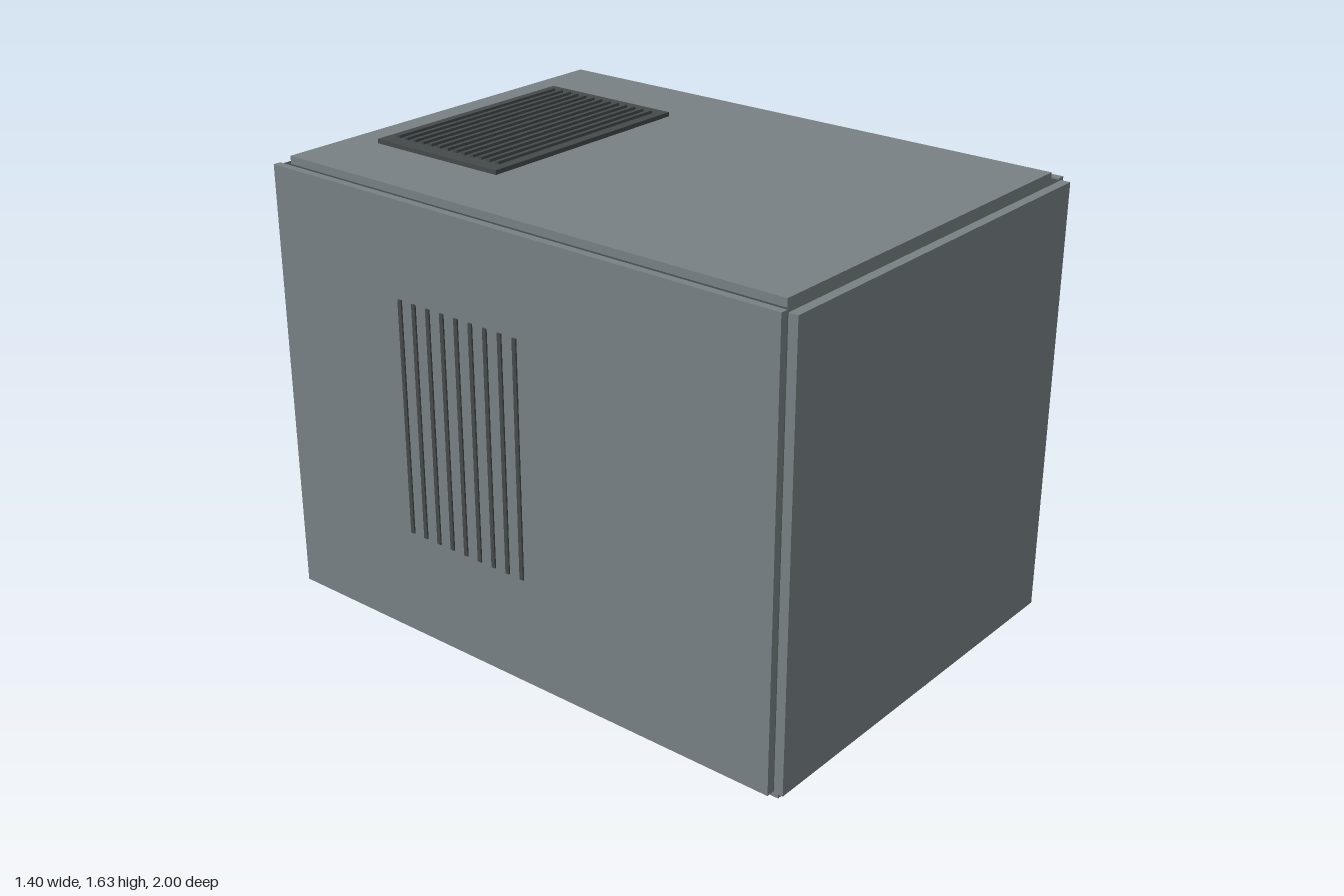
import * as THREE from 'three';

const grey = new THREE.MeshStandardMaterial({ color: 0x788185 });
grey.name = 'steel grey';
const dark = new THREE.MeshStandardMaterial({ color: 0x454a4a });
dark.name = 'dark grey';
const glass = new THREE.MeshStandardMaterial({ color: 0x606a6e });
glass.name = 'glass grey';

export function createModel() {
  const model = new THREE.Group();

  const add = (name, geometry, material) => {
    const mesh = new THREE.Mesh(geometry, material);
    mesh.name = name;
    model.add(mesh);
    return mesh;
  };
  // Box given by its limits on each axis
  const box = (name, material, x0, x1, y0, y1, z0, z1) =>
    add(name, new THREE.BoxGeometry(x1 - x0, y1 - y0, z1 - z0), material)
      .position.set((x0 + x1) / 2, (y0 + y1) / 2, (z0 + z1) / 2);
  // Upright cylinder between two heights
  const disc = (name, material, r, x, y0, y1, z, rBottom = r) =>
    add(name, new THREE.CylinderGeometry(r, rBottom, y1 - y0, 32), material)
      .position.set(x, (y0 + y1) / 2, z);

  // Cabinet: dark core with grey panels
  box('cabinetCore', dark, -0.67, 0.67, 0.18, 1.585, -0.9, 0.97);
  box('frontPanel', grey, -0.673, 0.673, 0.18, 1.585, 0.97, 1.0);
  box('topPanel', grey, -0.65, 0.65, 1.585, 1.61, -0.877, 0.95);
  for (const s of [-1, 1]) {
    const a = s * 0.67, b = s * 0.695;
    box('sidePanel', grey, Math.min(a, b), Math.max(a, b), 0.178, 1.59, -0.902, 0.965);
    // Vertical side vents
    for (let i = 0; i < 9; i++) {
      const z = 0.068 - i * 0.0565;
      const c = s * 0.69, d = s * 0.7;
      box('sideVent', dark, Math.min(c, d), Math.max(c, d), 0.527, 1.287, z - 0.007, z + 0.007);
    }
  }

  // Top grille with slats
  box('grillePlate', dark, -0.396, 0.394, 1.61, 1.624, -0.77, -0.275);
  for (let i = 0; i < 13; i++) {
    const z = -0.315 - i * 0.0345;
    box('grilleSlat', dark, -0.35, 0.35, 1.624, 1.633, z - 0.007, z + 0.007);
  }

  // Rear pipe
  const pipe = add('rearPipe', new THREE.CylinderGeometry(0.05, 0.05, 0.11, 32), dark);
  pipe.rotation.x = Math.PI / 2;
  pipe.position.set(0.547, 1.437, -0.945);

  // Underside control strip
  box('controlPanel', grey, -0.645, 0.645, 0.142, 0.18, 0.73, 0.965);
  box('drawer', grey, -0.575, -0.255, 0.115, 0.142, 0.765, 0.93);
  box('drawerInset', dark, -0.5, -0.31, 0.108, 0.115, 0.81, 0.89);
  box('displayFrame', grey, 0.32, 0.6, 0.119, 0.142, 0.775, 0.935);
  box('displayScreen', dark, 0.345, 0.575, 0.111, 0.119, 0.8, 0.91);
  disc('knobBase', dark, 0.071, 0.053, 0.112, 0.142, 0.845);
  disc('knob', grey, 0.053, 0.053, 0.065, 0.112, 0.845, 0.05);
  for (let i = 0; i < 4; i++) disc('button', grey, 0.014, 0.29 + i * 0.05, 0.108, 0.142, 0.752);

  // Round door: outer ring, stepped bowl, lower rim and glass
  const ring = add('doorRing', new THREE.TorusGeometry(0.462, 0.038, 20, 72), grey);
  ring.rotation.x = Math.PI / 2;
  ring.position.set(0, 0.113, -0.01);
  const bowl = [[0, 0.03], [0.375, 0.03], [0.39, 0.042], [0.435, 0.045], [0.455, 0.06],
    [0.458, 0.09], [0.45, 0.13], [0, 0.13]].map(([r, y]) => new THREE.Vector2(r, y));
  add('doorBowl', new THREE.LatheGeometry(bowl, 72), dark).position.z = -0.01;
  const rim = add('doorRim', new THREE.TorusGeometry(0.366, 0.017, 12, 72), grey);
  rim.rotation.x = Math.PI / 2;
  rim.position.set(0, 0.034, -0.01);
  disc('doorGlass', glass, 0.36, 0, 0.023, 0.04, -0.01);

  // Door handle and hinges
  box('doorHandle', grey, 0.415, 0.455, 0, 0.057, -0.115, 0.097);
  for (const z of [-0.31, 0.29]) box('doorHinge', grey, -0.515, -0.465, 0.058, 0.15, z - 0.055, z + 0.055);

  // Filter cover and plinth
  box('filterCover', grey, 0.29, 0.62, 0.138, 0.18, -0.763, -0.603);
  disc('filterKnob', dark, 0.048, 0.455, 0.11, 0.138, -0.686);
  box('plinth', dark, -0.65, 0.65, 0.15, 0.18, -0.892, -0.793);

  return model;
}
